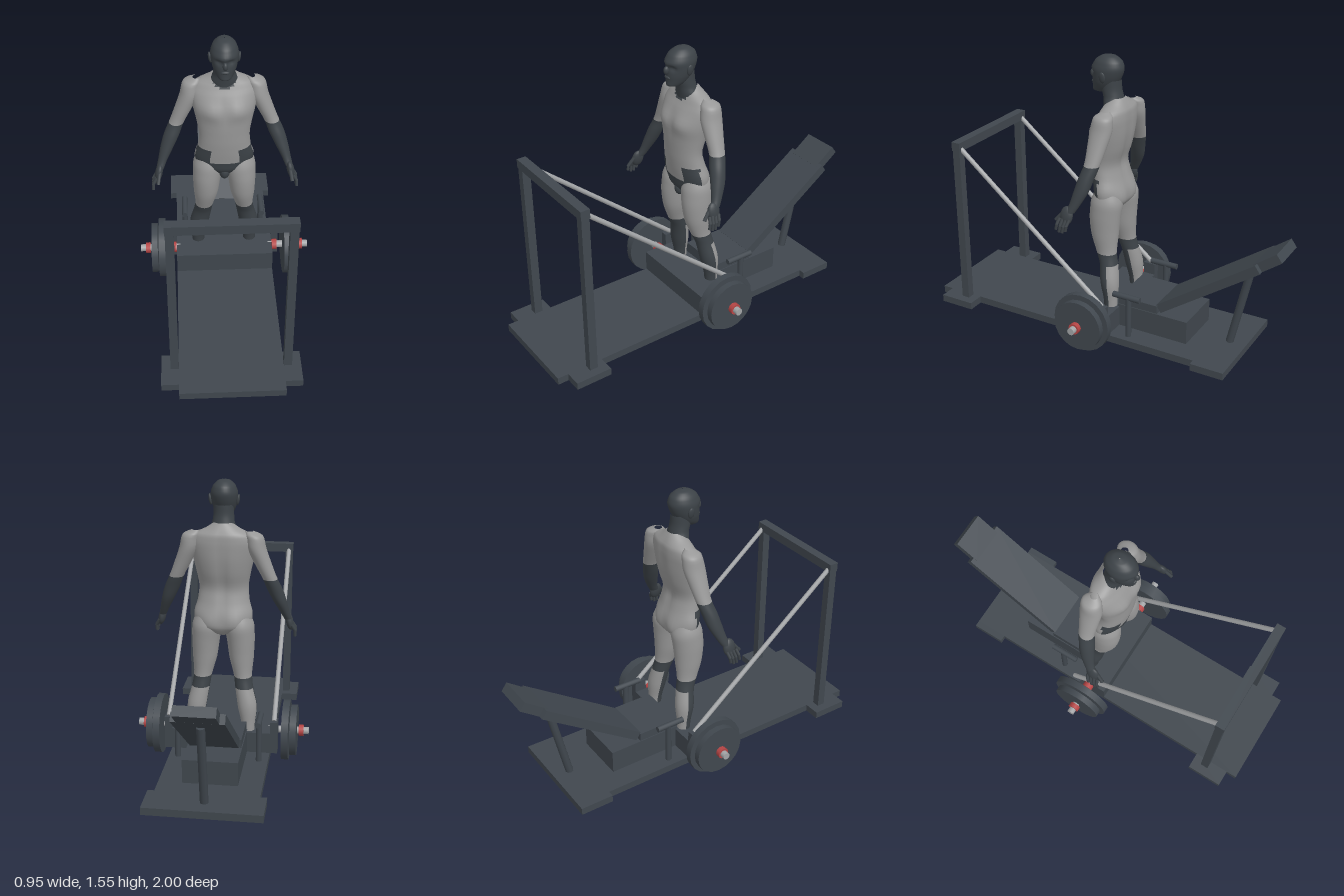
import * as THREE from 'three';

const mat = (name, color) => {
  const m = new THREE.MeshStandardMaterial({ color });
  m.name = name;
  return m;
};

export function createModel() {
  const steel = mat('dark steel', 0x40474e);
  const chrome = mat('chrome', 0xa3a5a7);
  const red = mat('red collar', 0xb54545);
  const skin = mat('light body', 0x989898);
  const dark = mat('dark body', 0x3c4247);
  const plateGrey = mat('grey plate', 0x6b6e70);
  const model = new THREE.Group();
  model.name = 'thrustMachineWithFigure';

  const add = (name, geo, material, parent = model) => {
    const m = new THREE.Mesh(geo, material);
    m.name = name;
    parent.add(m);
    return m;
  };
  // Box given by its limits on each axis
  const box = (name, x0, x1, y0, y1, z0, z1, material = steel) => {
    const m = add(name, new THREE.BoxGeometry(x1 - x0, y1 - y0, z1 - z0), material);
    m.position.set((x0 + x1) / 2, (y0 + y1) / 2, (z0 + z1) / 2);
    return m;
  };
  const pairBox = (name, x0, x1, ...rest) => {
    box(name, x0, x1, ...rest);
    box(name, -x1, -x0, ...rest);
  };
  // Round bar from a to b
  const rod = (name, a, b, r, material, sides = 12, parent = model) => {
    const A = new THREE.Vector3(...a), B = new THREE.Vector3(...b), d = B.clone().sub(A);
    const m = add(name, new THREE.CylinderGeometry(r, r, d.length(), sides), material, parent);
    m.position.copy(A).add(B).multiplyScalar(0.5);
    m.quaternion.setFromUnitVectors(new THREE.Vector3(0, 1, 0), d.normalize());
    return m;
  };
  // Tilted board between two points of the centre plane, given as [y, z]
  const board = (name, a, b, width, thick) => {
    const dy = b[0] - a[0], dz = b[1] - a[1];
    const m = add(name, new THREE.BoxGeometry(width, thick, Math.hypot(dy, dz)), steel);
    m.position.set(0, (a[0] + b[0]) / 2, (a[1] + b[1]) / 2);
    m.rotation.x = Math.atan2(-dy, dz);
  };

  // Base and platform
  box('baseDeck', -0.27, 0.27, 0.03, 0.07, -0.8, 1.0);
  pairBox('frontFoot', 0.27, 0.36, 0.03, 0.07, 0.74, 0.94);
  pairBox('rearFoot', 0.27, 0.305, 0.03, 0.07, -0.8, -0.615);
  box('undersidePlate', -0.21, 0.21, 0.025, 0.032, -0.2, 0.2, plateGrey);
  box('footBox', -0.27, 0.27, 0.07, 0.185, -0.11, 0.1);

  // Front frame
  pairBox('framePost', 0.27, 0.312, 0.07, 0.975, 0.79, 0.835);
  box('frameTopBeam', -0.315, 0.315, 0.97, 1.02, 0.787, 0.838);

  // Seat, backrest and strut
  box('seatBase', -0.145, 0.145, 0.07, 0.2, -0.515, -0.1);
  box('seat', -0.14, 0.14, 0.2, 0.245, -0.335, -0.1);
  board('backrest', [0.605, -0.885], [0.227, -0.34], 0.26, 0.05);
  board('headrest', [0.68, -0.985], [0.591, -0.864], 0.205, 0.052);
  rod('backrestStrut', [0, 0.07, -0.705], [0, 0.52, -0.803], 0.022, steel, 8);

  // Parts found on both sides
  for (const s of [1, -1]) {
    box('sideBracket', Math.min(s * 0.27, s * 0.31), Math.max(s * 0.27, s * 0.31), 0.07, 0.25, -0.11, -0.04);
    rod('guideRod', [s * 0.29, 0.985, 0.8], [s * 0.29, 0.25, -0.085], 0.013, chrome);
    rod('handlePost', [s * 0.22, 0.07, -0.207], [s * 0.22, 0.3, -0.207], 0.016, steel);
    rod('handleGrip', [s * 0.22, 0.303, -0.275], [s * 0.22, 0.303, -0.115], 0.016, steel);
    const along = (name, x0, x1, r, material, sides) =>
      rod(name, [s * x0, 0.166, 0], [s * x1, 0.166, 0], r, material, sides);
    along('axle', 0.25, 0.475, 0.02, chrome, 16);
    along('innerCollar', 0.272, 0.3, 0.03, red, 10);
    along('largeDisc', 0.332, 0.37, 0.166, steel, 20);
    along('smallDisc', 0.376, 0.411, 0.14, steel, 20);
    along('outerCollar', 0.42, 0.446, 0.031, red, 10);
  }

  // Smooth body part through rings [x, y, z, rx, rz] listed from top to bottom;
  // isDark picks the material of each cell, sculpt shifts points
  const loft = (name, rings, { isDark = () => false, sculpt = () => {}, mats = [skin, dark], parent }) => {
    const centre = new THREE.CatmullRomCurve3(rings.map(r => new THREE.Vector3(r[0], r[1], r[2])));
    const size = new THREE.CatmullRomCurve3(rings.map(r => new THREE.Vector3(r[3], r[4], 0)));
    const n = 36, rows = (rings.length - 1) * 4, pts = [], cells = [[], []];
    for (let i = 0; i <= rows; i++) {
      const c = centre.getPoint(i / rows), e = size.getPoint(i / rows);
      for (let j = 0; j < n; j++) {
        const a = (j / n) * Math.PI * 2;
        const p = new THREE.Vector3(c.x + e.x * Math.sin(a), c.y, c.z + e.y * Math.cos(a));
        sculpt(p, c);
        pts.push(p);
      }
    }
    for (let i = 0; i < rows; i++) for (let j = 0; j < n; j++) {
      const k = (j + 1) % n, a = i * n + j, b = i * n + k, c = a + n, d = b + n;
      const mid = pts[a].clone().add(pts[d]).multiplyScalar(0.5);
      cells[isDark(mid, centre.getPoint((i + 0.5) / rows)) ? 1 : 0].push(a, c, d, a, d, b);
    }
    const g = new THREE.BufferGeometry().setFromPoints(pts);
    g.setIndex([...cells[0], ...cells[1]]);
    g.addGroup(0, cells[0].length, 0);
    g.addGroup(cells[0].length, cells[1].length, 1);
    g.computeVertexNormals();
    return add(name, g, mats, parent);
  };
  const bump = (d, w) => Math.exp(-(d * d) / (w * w));

  // Figure
  const figure = new THREE.Group();
  figure.name = 'figure';
  model.add(figure);
  const blob = (name, pos, r, material, tilt = 0) => {
    const m = add(name, new THREE.SphereGeometry(1, 16, 12), material, figure);
    m.position.set(...pos);
    m.scale.set(...r);
    m.rotation.z = tilt;
  };

  loft('torso', [
    [0, 1.33, -0.015, 0.045, 0.04], [0, 1.3, -0.018, 0.09, 0.056], [0, 1.27, -0.02, 0.15, 0.07],
    [0, 1.22, -0.008, 0.172, 0.086], [0, 1.14, 0.01, 0.163, 0.1], [0, 1.06, 0.018, 0.146, 0.094],
    [0, 0.97, 0.028, 0.133, 0.08], [0, 0.9, 0.018, 0.14, 0.084], [0, 0.83, 0.004, 0.158, 0.088],
    [0, 0.77, 0.0, 0.15, 0.084], [0, 0.73, 0.0, 0.08, 0.06], [0, 0.71, 0.0, 0.02, 0.02],
  ], {
    parent: figure,
    isDark: p => (p.z > 0.02 && p.y > 0.72 && p.y < 0.9 && (Math.abs(p.x) > 0.07 || p.y < 0.82))
      || (p.z > 0.03 && p.y > 1.28 - 0.02 * bump(p.x, 0.04) && Math.abs(p.x) < 0.05),
    sculpt: (p, c) => {
      const ax = Math.abs(p.x);
      if (p.z > c.z) p.z += 0.014 * bump(ax - 0.075, 0.05) * bump(p.y - 1.15, 0.045)
        - 0.006 * bump(ax, 0.02) * bump(p.y - 1.14, 0.08);
      else p.z += 0.014 * bump(ax, 0.025) * bump(p.y - 1.05, 0.2)
        - 0.014 * bump(ax - 0.07, 0.05) * bump(p.y - 0.79, 0.05);
    },
  });
  blob('groin', [0, 0.735, 0.04], [0.03, 0.045, 0.04], dark);

  // Head and neck
  const headMats = [dark, dark];
  loft('neck', [
    [0, 1.42, 0.02, 0.052, 0.055], [0, 1.37, 0.018, 0.054, 0.054], [0, 1.33, 0.008, 0.058, 0.052],
    [0, 1.29, 0, 0.072, 0.053], [0, 1.26, 0, 0.06, 0.05],
  ], { mats: headMats, parent: figure });
  loft('head', [
    [0, 1.547, 0.032, 0.003, 0.003], [0, 1.54, 0.033, 0.032, 0.04], [0, 1.515, 0.035, 0.058, 0.074],
    [0, 1.475, 0.039, 0.071, 0.088], [0, 1.44, 0.043, 0.069, 0.082], [0, 1.405, 0.052, 0.062, 0.074],
    [0, 1.375, 0.063, 0.05, 0.062], [0, 1.352, 0.08, 0.034, 0.044], [0, 1.342, 0.082, 0.008, 0.01],
  ], {
    mats: headMats, parent: figure,
    sculpt: (p, c) => {
      if (p.z < c.z) return;
      p.z -= 0.014 * bump(Math.abs(p.x) - 0.03, 0.016) * bump(p.y - 1.452, 0.014);
      p.z += 0.005 * bump(p.x, 0.045) * bump(p.y - 1.475, 0.012);
    },
  });
  blob('nose', [0, 1.437, 0.128], [0.013, 0.022, 0.017], dark);
  blob('lips', [0, 1.398, 0.123], [0.022, 0.009, 0.009], dark);

  for (const s of [1, -1]) {
    blob('ear', [s * 0.073, 1.44, 0.035], [0.009, 0.03, 0.018], dark, -s * 0.15);

    // Arm with dark forearm
    const m = rings => rings.map(r => [s * r[0], ...r.slice(1)]);
    loft('arm', m([
      [0.14, 1.29, -0.025, 0.02, 0.02], [0.165, 1.265, -0.025, 0.046, 0.052], [0.178, 1.2, -0.02, 0.05, 0.06],
      [0.21, 1.12, -0.014, 0.045, 0.052], [0.25, 1.03, -0.006, 0.039, 0.042], [0.275, 0.97, 0.01, 0.041, 0.042],
      [0.302, 0.9, 0.027, 0.035, 0.04], [0.328, 0.83, 0.052, 0.024, 0.03], [0.342, 0.79, 0.072, 0.02, 0.027],
    ]), { isDark: p => p.y < 1.025, parent: figure });

    // Hand
    blob('palm', [s * 0.35, 0.77, 0.088], [0.02, 0.05, 0.036], dark, s * 0.2);
    for (let i = 0; i < 4; i++) {
      const z = 0.065 + i * 0.019, lift = i === 0 || i === 3 ? 0.012 : 0;
      const knuckle = [s * 0.362, 0.755, z], joint = [s * 0.38, 0.718 + lift / 2, z + 0.008];
      rod('finger', knuckle, joint, 0.009, dark, 8, figure);
      rod('fingertip', joint, [s * 0.381, 0.682 + lift, z + 0.014], 0.008, dark, 8, figure);
    }
    rod('thumb', [s * 0.345, 0.785, 0.11], [s * 0.355, 0.735, 0.15], 0.01, dark, 8, figure);

    // Leg with dark shin and knee band
    loft('leg', m([
      [0.085, 0.84, 0, 0.055, 0.06], [0.088, 0.76, 0, 0.08, 0.088], [0.095, 0.68, 0.006, 0.075, 0.086],
      [0.1, 0.58, 0.004, 0.066, 0.076], [0.11, 0.48, -0.012, 0.049, 0.056], [0.119, 0.42, -0.03, 0.049, 0.05],
      [0.137, 0.33, -0.045, 0.053, 0.051], [0.145, 0.22, -0.055, 0.037, 0.038], [0.147, 0.1, -0.058, 0.03, 0.034],
    ]), {
      isDark: (p, c) => p.y < 0.475 && (p.y > 0.41 || p.z > c.z - 0.005),
      parent: figure,
    });
  }
  return model;
}
